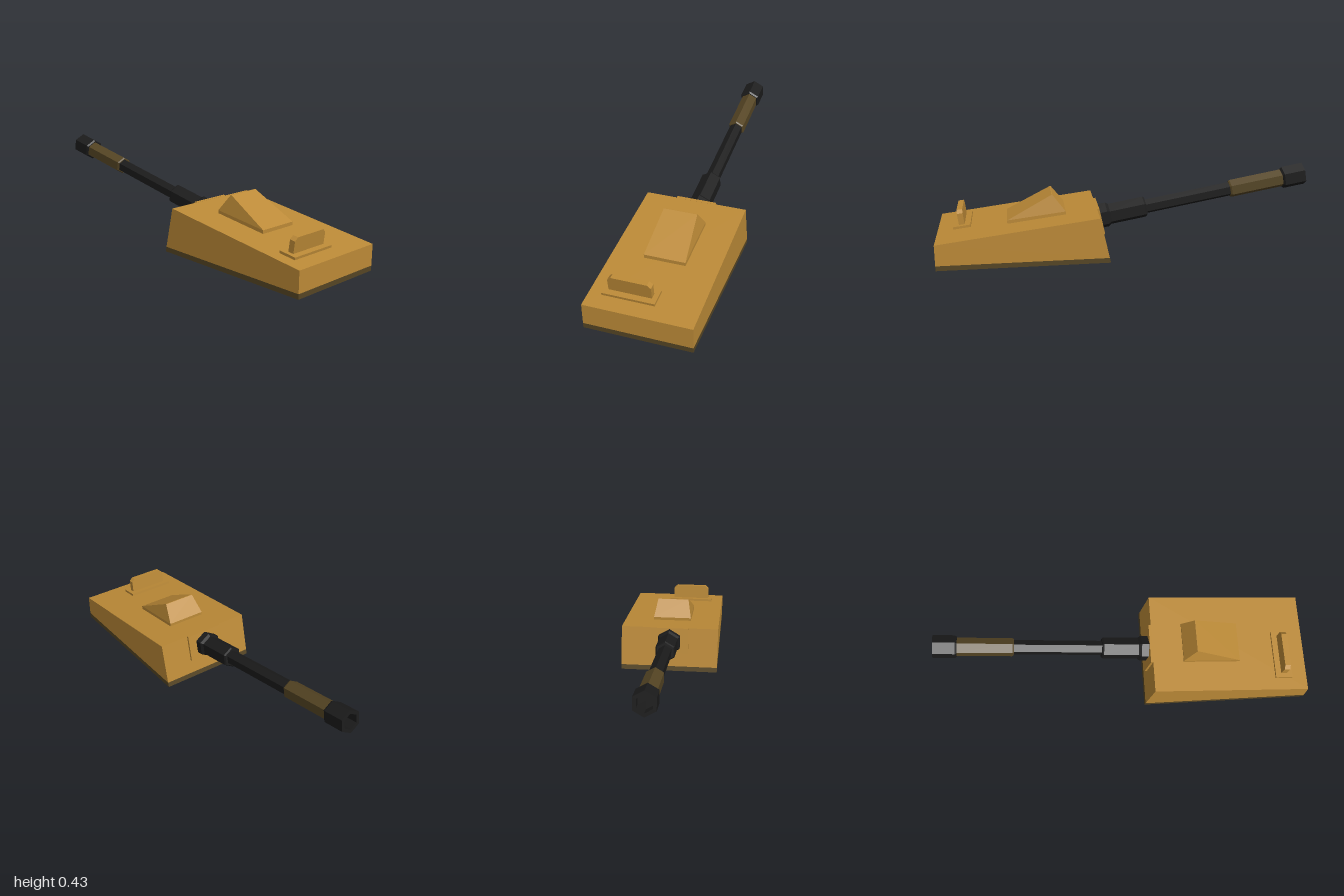
import * as THREE from 'three';

const mat = (color) => new THREE.MeshStandardMaterial({ color, flatShading: true });
const ochre = mat(0xbc8a37), umber = mat(0x554524), black = mat(0x1b1b1b);
const ROOF_TILT = -Math.atan2(0.105, 0.835);

function add(parent, name, geometry, material) {
  const mesh = new THREE.Mesh(geometry, material);
  mesh.name = name;
  parent.add(mesh);
  return mesh;
}

// Extrude a side profile (x, y) from z0 to z1
function prism(points, z0, z1) {
  const shape = new THREE.Shape(points.map(([x, y]) => new THREE.Vector2(x, y)));
  return new THREE.ExtrudeGeometry(shape, { depth: z1 - z0, bevelEnabled: false }).translate(0, 0, z0);
}

// Six-sided turned part with ridges above and below the axis
function hexLathe(profile) {
  return new THREE.LatheGeometry(profile.map(([r, y]) => new THREE.Vector2(r, y)), 6, Math.PI / 2);
}

// Cupola: stacked rectangular rings [x0, y0, x1, y1, halfWidth0, halfWidth1], capped at top and bottom
function ringSolid(rings) {
  const pos = [], idx = [];
  for (const [x0, y0, x1, y1, w0, w1] of rings) pos.push(x0, y0, w0, x1, y1, w1, x1, y1, -w1, x0, y0, -w0);
  for (let r = 0; r < rings.length - 1; r++) {
    for (let i = 0; i < 4; i++) {
      const a = r * 4 + i, b = r * 4 + (i + 1) % 4;
      idx.push(a, b, b + 4, a, b + 4, a + 4);
    }
  }
  const t = (rings.length - 1) * 4;
  idx.push(t, t + 1, t + 2, t, t + 2, t + 3, 0, 2, 1, 0, 3, 2);
  const g = new THREE.BufferGeometry();
  g.setAttribute('position', new THREE.Float32BufferAttribute(pos, 3));
  g.setIndex(idx);
  g.computeVertexNormals();
  return g;
}

export function createModel() {
  const model = new THREE.Group();
  model.name = 'turret';

  // Wedge-shaped turret body on a dark base strip
  add(model, 'baseStrip', prism([[0.112, 0], [1, 0], [1, 0.026], [0.118, 0.026]], -0.271, 0.271), umber);
  add(model, 'turretBody', prism([[0.118, 0.026], [1, 0.026], [1, 0.136], [0.165, 0.241]], -0.271, 0.271), ochre);

  // Mantlet plate lying on the sloped face
  add(model, 'mantletPlate', prism([[0.135, 0.1], [0.123, 0.103], [0.153, 0.243], [0.168, 0.241]], -0.107, 0.107), ochre);

  // Cupola wedge with a short lip and a narrower ridge
  add(model, 'cupola', ringSolid([
    [0.33, 0.2, 0.636, 0.17, 0.107, 0.107],
    [0.33, 0.236, 0.636, 0.2, 0.107, 0.107],
    [0.398, 0.325, 0.402, 0.325, 0.088, 0.088],
  ]), ochre);

  // Rear sight: flat foot and upright plate with clipped corners
  const sight = new THREE.Group();
  sight.name = 'rearSight';
  sight.position.set(0.872, 0.151, 0.074);
  sight.rotation.z = ROOF_TILT;
  add(sight, 'sightFoot', new THREE.BoxGeometry(0.092, 0.02, 0.264).translate(0, 0.004, 0), ochre);
  const plate = prism([
    [-0.108, 0], [0.108, 0], [0.108, 0.075], [0.09, 0.092], [-0.09, 0.092], [-0.108, 0.075],
  ], -0.015, 0.015);
  add(sight, 'sightPlate', plate.rotateY(Math.PI / 2), ochre);
  model.add(sight);

  // Raised gun barrel; local y runs from the mantlet out to the muzzle
  const gun = new THREE.Group();
  gun.name = 'gun';
  gun.position.set(0.13, 0.172, 0);
  gun.rotation.z = THREE.MathUtils.degToRad(80);
  add(gun, 'collar', hexLathe([[0, -0.03], [0.06, -0.03], [0.069, -0.018], [0.069, 0.03], [0.058, 0.045], [0, 0.045]]), black);
  add(gun, 'sleeve', hexLathe([[0, 0.04], [0.058, 0.04], [0.058, 0.235], [0.052, 0.244], [0, 0.244]]), black);
  add(gun, 'barrel', hexLathe([[0, 0.24], [0.039, 0.24], [0.039, 0.73], [0, 0.73]]), black);
  add(gun, 'barrelJacket', hexLathe([[0, 0.715], [0.044, 0.715], [0.049, 0.723], [0.049, 1.02], [0, 1.02]]), umber);
  add(gun, 'muzzle', hexLathe([
    [0, 1.012], [0.054, 1.012], [0.061, 1.022], [0.061, 1.137], [0.042, 1.137], [0.042, 1.08], [0, 1.08],
  ]), black);
  model.add(gun);

  return model;
}
